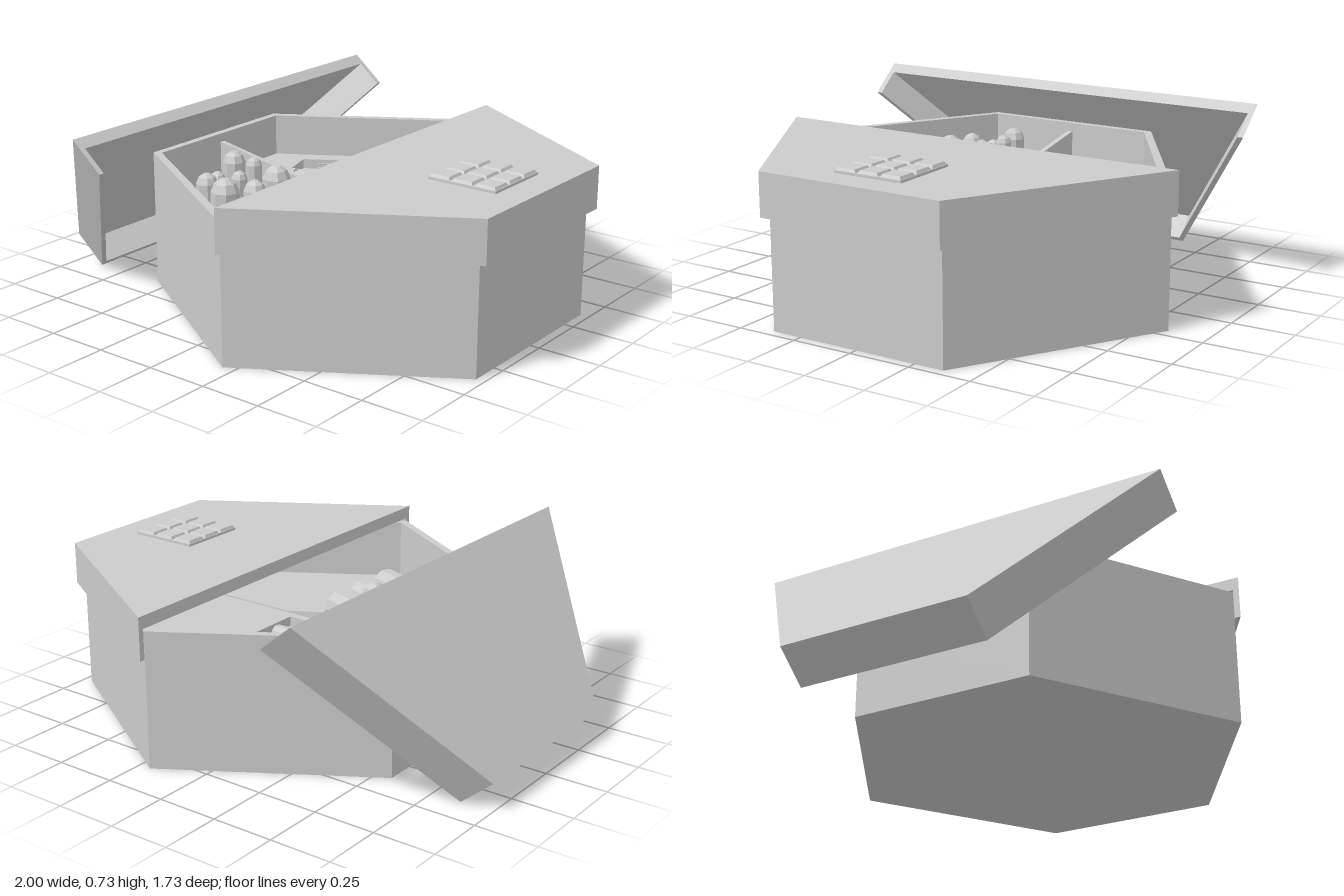
import * as THREE from 'three';

const material = new THREE.MeshStandardMaterial({ color: 0xcccccc, flatShading: true, side: THREE.DoubleSide });

function add(parent, name, geometry) {
  const mesh = new THREE.Mesh(geometry, material);
  mesh.name = name;
  parent.add(mesh);
  return mesh;
}

// Flat slab from an outline of [x, z] points, between two heights, with optional holes.
function slab(points, bottom, top, holes = []) {
  const toVectors = (list) => list.map(([x, z]) => new THREE.Vector2(x, z));
  const shape = new THREE.Shape(toVectors(points));
  shape.holes = holes.map((h) => new THREE.Path(toVectors(h)));
  const g = new THREE.ExtrudeGeometry(shape, { depth: top - bottom, bevelEnabled: false });
  return g.rotateX(Math.PI / 2).translate(0, top, 0);
}

// Hexagon around x = 0.2
const hexagon = (w, long, short) => [
  [0.2 + w, short], [0.2, long], [0.2 - w, short],
  [0.2 - w, -short], [0.2, -long], [0.2 + w, -short],
];

// Half-hexagon lid; its open cut edge lies on local x = 0, top on y = 0
function makeLid(name) {
  const lid = new THREE.Group();
  lid.name = name;
  const outer = [[0, 0.865], [0.8, 0.385], [0.8, -0.385], [0, -0.865]];
  const inner = [[0, -0.842], [0.778, -0.374], [0.778, 0.374], [0, 0.842]];
  add(lid, 'lidTop', slab(outer, -0.05, 0));
  add(lid, 'lidSkirt', slab([...outer, ...inner], -0.17, -0.05));
  return lid;
}

// Syringe lying between two [x, z] points, plunger first
function makeSyringe(from, to, radius) {
  const syringe = new THREE.Group();
  syringe.name = 'syringe';
  const a = new THREE.Vector3(from[0], 0.37, from[1]);
  const b = new THREE.Vector3(to[0], 0.37, to[1]);
  const length = a.distanceTo(b);
  const profile = [
    [0, 0], [1.1, 0], [1.1, 0.02], [0.3, 0.02], [0.3, 0.2], [1.3, 0.2], [1.3, 0.23],
    [0.85, 0.23], [0.85, 0.65], [0.25, 0.78], [0.12, 0.8], [0, 1],
  ].map(([r, t]) => new THREE.Vector2(r * radius, t * length));
  add(syringe, 'syringeBody', new THREE.LatheGeometry(profile, 8));
  syringe.position.copy(a);
  syringe.quaternion.setFromUnitVectors(new THREE.Vector3(0, 1, 0), b.sub(a).normalize());
  return syringe;
}

export function createModel() {
  const model = new THREE.Group();
  model.name = 'hexagonalBox';
  const floorY = 0.3;
  const trayY = 0.375;

  // Box body: floor block and rim wall
  const inside = hexagon(0.735, 0.802, 0.353);
  add(model, 'boxFloor', slab(hexagon(0.765, 0.84, 0.37), 0, floorY));
  add(model, 'boxWall', slab(hexagon(0.765, 0.84, 0.37), floorY, 0.545, [inside]));

  // Raised tray in the back half, with two recesses
  const tray = [[-0.535, 0], ...inside.slice(3), [0.935, 0]];
  const recesses = [
    [[-0.39, -0.36], [0.1, -0.66], [0.07, -0.34], [-0.35, -0.23]],
    [[-0.46, -0.16], [0.15, -0.3], [0.15, -0.05], [-0.46, -0.05]],
  ];
  add(model, 'trayBase', slab(tray, floorY, 0.335));
  add(model, 'trayTop', slab(tray, 0.335, trayY, recesses));

  // Sloping divider between the halves
  const side = new THREE.Shape([[-0.535, 0.3], [0.935, 0.3], [0.935, 0.38], [0.2, 0.38], [-0.535, 0.51]]
    .map(([x, y]) => new THREE.Vector2(x, y)));
  add(model, 'divider', new THREE.ExtrudeGeometry(side, { depth: 0.022, bevelEnabled: false }).translate(0, 0, -0.017));

  // Syringes and a small roll in the tray
  [
    [[0.01, -0.54], [-0.32, -0.35], 0.032],
    [[0.02, -0.46], [-0.3, -0.3], 0.03],
    [[-0.03, -0.37], [-0.26, -0.27], 0.024],
    [[-0.36, -0.17], [-0.06, -0.22], 0.02],
    [[-0.4, -0.12], [-0.13, -0.19], 0.024],
    [[-0.23, -0.1], [0.03, -0.16], 0.022],
    [[-0.15, -0.075], [0.05, -0.11], 0.02],
  ].forEach((s) => model.add(makeSyringe(...s)));
  add(model, 'smallRoll', new THREE.CylinderGeometry(0.036, 0.036, 0.08, 10).rotateZ(Math.PI / 2))
    .position.set(0.045, 0.371, -0.22);

  // Upright domed vials: x, z, radius, top
  [
    [-0.335, 0.15, 0.045, 0.54], [-0.24, 0.14, 0.032, 0.53], [-0.12, 0.145, 0.055, 0.52],
    [-0.335, 0.25, 0.033, 0.48], [-0.23, 0.24, 0.032, 0.5], [-0.125, 0.27, 0.045, 0.49],
    [-0.31, 0.34, 0.043, 0.5], [-0.19, 0.37, 0.056, 0.51], [-0.1, 0.435, 0.032, 0.44],
  ].forEach(([x, z, r, top]) => {
    const profile = [[r, floorY], [r, top - r * 0.9], [r * 0.75, top - r * 0.3], [r * 0.3, top], [0, top]];
    add(model, 'vial', new THREE.LatheGeometry(profile.map((p) => new THREE.Vector2(...p)), 8))
      .position.set(x, 0, z);
  });

  // Rolls lying beside the vials
  for (const z of [0.16, 0.32, 0.49]) {
    const roll = add(model, 'roll', new THREE.CylinderGeometry(0.068, 0.068, 0.13, 10).rotateZ(Math.PI / 2));
    roll.position.set(0.02, 0.367, z);
    roll.rotation.y = -0.35;
  }

  // Closed lid on the left, opened and tilted lid on the right
  const closedLid = makeLid('closedLid');
  closedLid.position.set(0.2, 0.605, 0);
  const openLid = makeLid('openLid');
  openLid.position.set(-0.487, 0.725, 0);
  openLid.rotation.set(0, Math.PI, THREE.MathUtils.degToRad(50), 'ZYX');
  model.add(closedLid, openLid);

  // Square ornament of nine raised tiles on the closed lid
  const ornament = new THREE.Group();
  ornament.name = 'tileOrnament';
  ornament.position.set(0.735, 0.605, 0);
  add(ornament, 'ornamentBase', new THREE.BoxGeometry(0.288, 0.01, 0.288).translate(0, 0.005, 0));
  for (let i = -1; i <= 1; i++) {
    for (let j = -1; j <= 1; j++) {
      const tile = new THREE.CylinderGeometry(0.053, 0.063, 0.012, 4).rotateY(Math.PI / 4);
      add(ornament, 'tile', tile).position.set(i * 0.097, 0.015, j * 0.097);
    }
  }
  model.add(ornament);
  return model;
}
